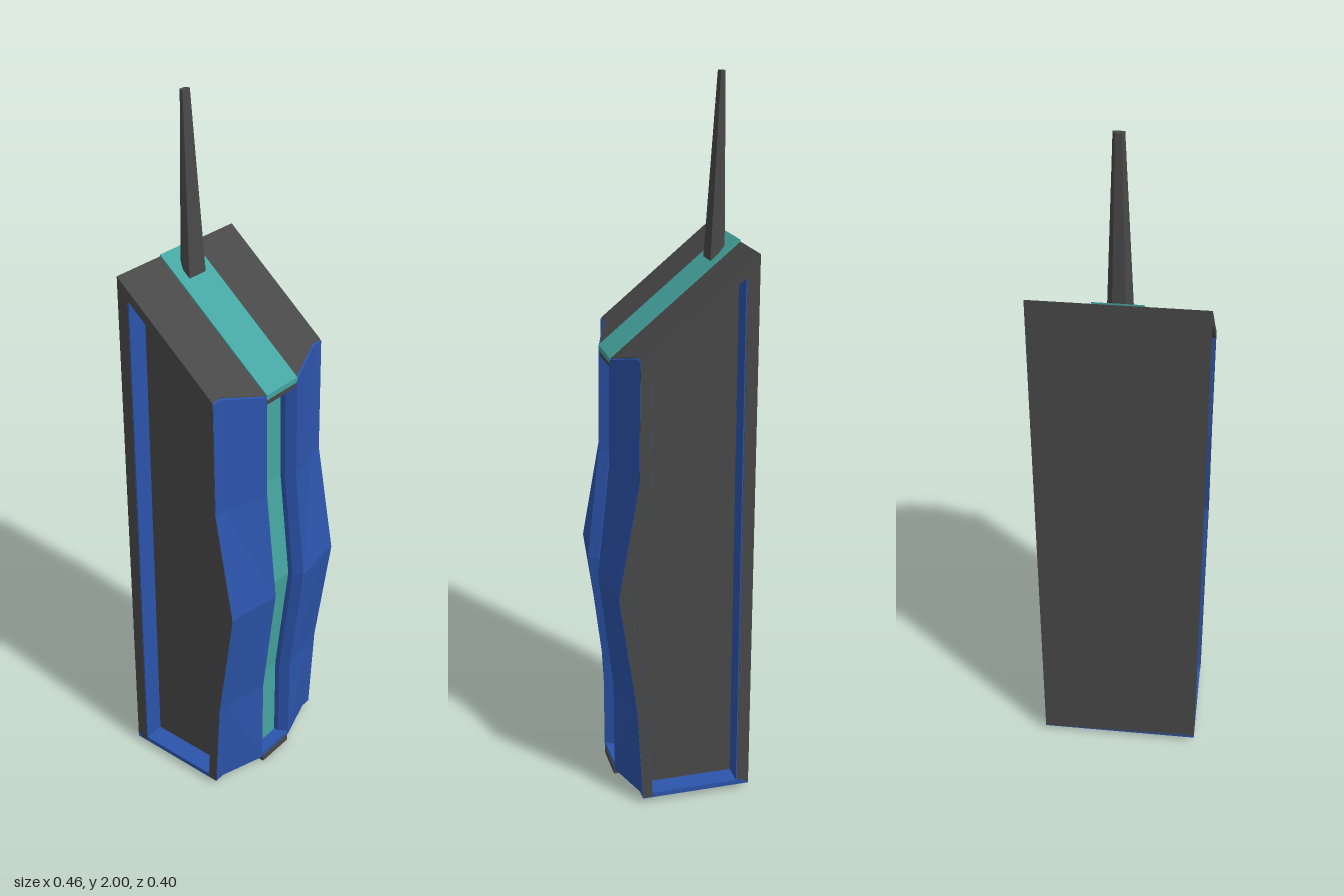
import * as THREE from 'three';

const material = (color) => new THREE.MeshStandardMaterial({ color, flatShading: true });

// Slope of the roof: height above any z
const PITCH = 0.824, FRONT = 0.158;
const roofY = (z) => 1.27 + (FRONT - z) * PITCH;

// Facade levels: [height, bulge at the groove, bulge at the outer edge]
const LEVELS = [[0.02, 0, 0], [0.3, 0, 0.014], [0.65, 0.04, 0.063], [0.97, 0.005, 0.005], [null, 0, 0]];

// Solid through a stack of rings of [x, y, z], each ring running +x along its front
function loft(rings) {
  const n = rings[0].length, last = (rings.length - 1) * n, index = [];
  for (let r = 0; r < rings.length - 1; r++) {
    for (let i = 0; i < n; i++) {
      const a = r * n + i, b = r * n + (i + 1) % n;
      index.push(a, b, b + n, a, b + n, a + n);
    }
  }
  for (let i = 1; i < n - 1; i++) index.push(last, last + i, last + i + 1, 0, i + 1, i);
  const g = new THREE.BufferGeometry();
  g.setAttribute('position', new THREE.Float32BufferAttribute(rings.flat(2), 3));
  g.setIndex(index);
  const flat = g.toNonIndexed();
  flat.computeVertexNormals();
  return flat;
}

// Side outline of [z, y] points, extruded across x
function sideProfile(points, halfWidth) {
  const shape = new THREE.Shape(points.map(([z, y]) => new THREE.Vector2(z, y)));
  return new THREE.ExtrudeGeometry(shape, { depth: halfWidth * 2, bevelEnabled: false })
    .rotateY(-Math.PI / 2).translate(halfWidth, 0, 0);
}

// Floor outline of [x, z] points, extruded upwards and optionally sheared to the roof pitch
function floorPlan(points, y, thickness, pitched) {
  const shape = new THREE.Shape(points.map(([x, z]) => new THREE.Vector2(x, -z)));
  const g = new THREE.ExtrudeGeometry(shape, { depth: thickness, bevelEnabled: false })
    .rotateX(-Math.PI / 2).translate(0, y, 0);
  if (pitched) {
    const p = g.attributes.position;
    for (let i = 0; i < p.count; i++) p.setY(i, p.getY(i) + (FRONT - p.getZ(i)) * PITCH);
    g.computeVertexNormals();
  }
  return g;
}

// Facade cross-section lofted over all levels; section(c, d) gives [x, z] points
const facade = (section) => loft(LEVELS.map(([y, c, d]) =>
  section(c, d).map(([x, z]) => [x, y ?? roofY(z), z])));

export function createModel() {
  const tower = new THREE.Group();
  tower.name = 'tower';
  const grey = material(0x484848), blue = material(0x2c54ab), teal = material(0x45a5a0);
  const add = (name, geometry, mat, mirrored = false) => {
    const mesh = new THREE.Mesh(geometry, mat);
    mesh.name = name;
    if (mirrored) mesh.scale.x = -1;
    tower.add(mesh);
  };
  const pair = (name, geometry, mat) => {
    add('left' + name, geometry, mat);
    add('right' + name, geometry, mat, true);
  };

  // Recessed core, bulging with the facade
  const coreFront = LEVELS.map(([y, , d]) => [0.088 + d, y ?? roofY(0.088) - 0.01]);
  add('core', sideProfile([[-0.18, 0.02], ...coreFront, [-0.18, roofY(-0.18) - 0.01]], 0.17), grey);

  // Back wall with coloured inner lips facing the side recesses
  add('backWall', sideProfile([[-0.2, 0.02], [-0.166, 0.02],
    [-0.166, roofY(-0.166) - 0.005], [-0.2, roofY(-0.2) - 0.005]], 0.23), grey);
  pair('BackLip', new THREE.BoxGeometry(0.06, 1.48, 0.004).translate(0.199, 0.77, -0.165), blue);

  // Bulging front wings either side of the groove, with grey outer edges
  pair('FrontWing', facade((c, d) => [[0.05, 0.09 + c], [0.05, 0.13 + c], [0.065, FRONT + c],
    [0.197, 0.115 + d], [0.23, 0.115 + d], [0.23, 0.085 + d], [0.165, 0.085 + d]]), blue);
  pair('WingEdge', facade((c, d) => [[0.228, 0.114 + d], [0.231, 0.114 + d],
    [0.231, 0.086 + d], [0.228, 0.086 + d]]), grey);

  // Glowing strip in the groove, with dark trim, lintel and foot
  const strip = (z, top) => [[0.08, 0.01], ...LEVELS.map(([y, c], i) => [z + c, i ? y ?? top : 0.01]), [0.08, top]];
  add('frontStrip', sideProfile(strip(0.118, 1.25), 0.046), teal);
  add('stripTrim', sideProfile(strip(0.113, 1.265), 0.052), grey);
  add('stripLintel', new THREE.BoxGeometry(0.12, 0.016, 0.056).translate(0, 1.26, 0.128), grey);
  add('stripFoot', new THREE.BoxGeometry(0.12, 0.02, 0.043).translate(0, 0.01, 0.137), grey);

  // Base plate and pitched roof share the stepped front outline
  const outline = (s) => [[-0.23, -0.2], [0.23, -0.2], [0.23, 0.115 - s], [0.197, 0.115 - s],
    [0.065, FRONT - s], [-0.065, FRONT - s], [-0.197, 0.115 - s], [-0.23, 0.115 - s]];
  add('basePlate', floorPlan(outline(0.002), 0.017, 0.014), blue);
  add('roof', floorPlan(outline(0.004), 1.242, 0.03, true), grey);
  add('roofStrip', floorPlan([[-0.065, -0.2], [0.065, -0.2], [0.065, FRONT], [-0.065, FRONT]],
    1.262, 0.015, true), teal);

  // Tapering mast with a straight back
  const half = [[0.033, -0.127], [0.033, -0.15], [0.018, -0.172]];
  const tip = [[0.014, -0.156], [0.014, -0.163], [0.008, -0.17]];
  const ring = (pts, y) => [[-pts[0][0], y, pts[0][1]], ...pts.map(([x, z]) => [x, y, z]),
    [-pts[2][0], y, pts[2][1]], [-pts[1][0], y, pts[1][1]]];
  add('mast', loft([ring(half, 1.5), ring(tip, 2)]), grey);

  return tower;
}
